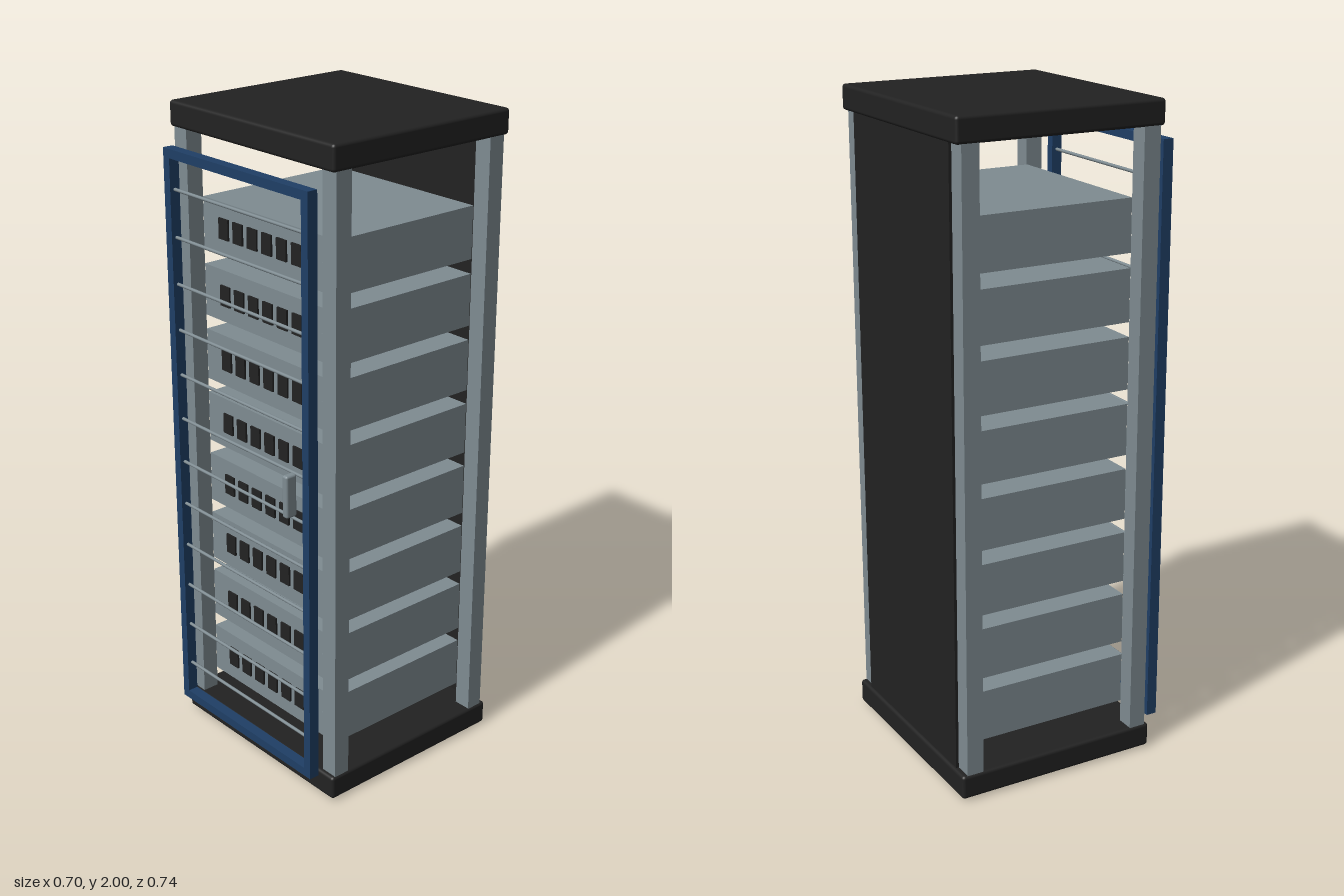
import * as THREE from 'three';
import { RoundedBoxGeometry } from 'three/addons/geometries/RoundedBoxGeometry.js';

const material = (name, color) => {
  const m = new THREE.MeshStandardMaterial({ color });
  m.name = name;
  return m;
};

export function createModel() {
  const steel = material('grey steel', 0x7f8c92);
  const black = material('black', 0x222222);
  const blue = material('dark blue', 0x1f3f66);

  const add = (parent, name, geometry, mat, x, y, z) => {
    const mesh = new THREE.Mesh(geometry, mat);
    mesh.name = name;
    mesh.position.set(x, y, z);
    parent.add(mesh);
    return mesh;
  };
  const box = (w, h, d) => new THREE.BoxGeometry(w, h, d);
  const group = (parent, name) => {
    const g = new THREE.Group();
    g.name = name;
    parent.add(g);
    return g;
  };

  const cabinet = new THREE.Group();
  cabinet.name = 'serverCabinet';

  // Base and roof slabs with softened edges
  const slab = new RoundedBoxGeometry(0.704, 0.075, 0.65, 3, 0.01);
  add(cabinet, 'base', slab, black, 0, 0.0445, -0.046);
  add(cabinet, 'roof', slab, black, 0, 1.9625, -0.046);

  // Corner posts and small feet
  const post = box(0.055, 1.87, 0.053);
  const foot = new THREE.CylinderGeometry(0.015, 0.015, 0.02, 16);
  for (const x of [-0.32, 0.32]) {
    for (const z of [0.239, -0.327]) {
      add(cabinet, 'cornerPost', post, steel, x, 1.0, z);
      add(cabinet, 'foot', foot, steel, x, 0.01, z);
    }
  }

  // Back panel between the rear posts
  add(cabinet, 'backPanel', box(0.585, 1.86, 0.012), black, 0, 1.0, -0.356);

  // Eight stacked server units with vents and a power button
  const unitBody = box(0.58, 0.158, 0.515);
  const vent = box(0.042, 0.062, 0.008);
  const button = new THREE.CylinderGeometry(0.006, 0.006, 0.008, 12).rotateX(Math.PI / 2);
  for (let i = 0; i < 8; i++) {
    const unit = group(cabinet, 'serverUnit');
    unit.position.y = 0.229 + i * 0.202;
    add(unit, 'unitBody', unitBody, steel, 0, 0, -0.0435);
    for (let j = 0; j < 6; j++) {
      add(unit, 'vent', vent, black, -0.193 + j * 0.0645, 0.002, 0.216);
    }
    add(unit, 'powerButton', button, steel, 0.238, 0.002, 0.216);
  }

  // Front door: open frame, horizontal bars and handle
  const door = group(cabinet, 'door');
  door.position.z = 0.3165;
  for (const s of [-1, 1]) {
    add(door, 'doorStile', box(0.027, 1.795, 0.033), blue, s * 0.2985, 0.9825, 0);
    add(door, 'doorRail', box(0.57, 0.027, 0.033), blue, 0, 0.9825 + s * 0.884, 0);
  }
  const bar = new THREE.CylinderGeometry(0.005, 0.005, 0.575, 10).rotateZ(Math.PI / 2);
  for (let i = 0; i < 12; i++) {
    add(door, 'doorBar', bar, steel, 0, 0.212 + i * 0.1408, 0);
  }
  add(door, 'doorHandle', new RoundedBoxGeometry(0.022, 0.13, 0.038, 3, 0.007), steel,
    0.251, 1.005, 0.035);

  return cabinet;
}
